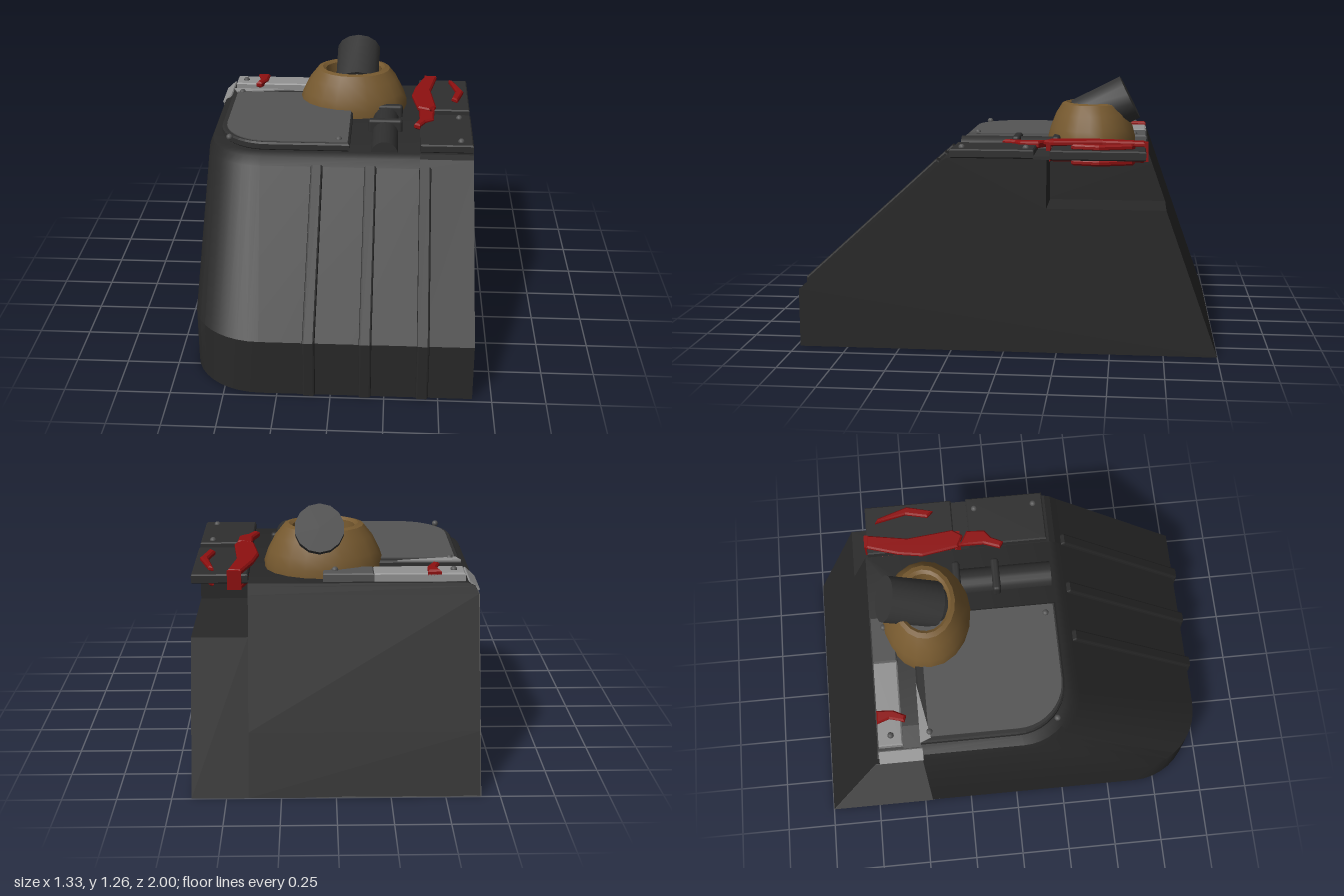
import * as THREE from 'three';
import { toCreasedNormals } from 'three/addons/utils/BufferGeometryUtils.js';
import { RoundedBoxGeometry } from 'three/addons/geometries/RoundedBoxGeometry.js';

const paint = (name, color) => {
  const m = new THREE.MeshStandardMaterial({ color });
  m.name = name;
  return m;
};

export function createModel() {
  const group = new THREE.Group();
  const charcoal = paint('charcoal', 0x282828);
  const darkTrim = paint('dark trim', 0x2f2f2f);
  const plateGrey = paint('plate grey', 0x545454);
  const paleMetal = paint('pale metal', 0x929292);
  const bronze = paint('bronze', 0x76592f);
  const red = paint('red', 0x8e1010);
  const barrelGrey = paint('barrel grey', 0x353535);

  const add = (name, geo, mat, x = 0, y = 0, z = 0) => {
    const mesh = new THREE.Mesh(geo, mat);
    mesh.name = name;
    mesh.position.set(x, y, z);
    group.add(mesh);
    return mesh;
  };
  const shapeOf = (pts) => new THREE.Shape(pts.map(([a, b]) => new THREE.Vector2(a, b)));

  // Horizontal slab from an outline of [x, z] points
  const slab = (name, pts, y, h, mat, bevel = 0) => {
    const geo = new THREE.ExtrudeGeometry(shapeOf(pts.map(([x, z]) => [x, -z])), {
      depth: h - 2 * bevel, bevelEnabled: bevel > 0, bevelSize: bevel,
      bevelOffset: -bevel, bevelThickness: bevel, bevelSegments: 1,
    });
    geo.translate(0, 0, bevel);
    geo.rotateX(-Math.PI / 2);
    return add(name, geo, mat, 0, y, 0);
  };
  // Side profile of [z, y] points, extruded from x1 towards -x
  const sideProfile = (name, pts, x1, width, mat, bevel = 0) => {
    const geo = new THREE.ExtrudeGeometry(shapeOf(pts), {
      depth: width - 2 * bevel, bevelEnabled: bevel > 0, bevelSize: bevel,
      bevelOffset: -bevel, bevelThickness: bevel, bevelSegments: 2,
    });
    geo.rotateY(-Math.PI / 2);
    return add(name, geo, mat, x1 - bevel, 0, 0);
  };
  const rect = (x0, x1, z0, z1) => [[x0, z0], [x1, z0], [x1, z1], [x0, z1]];
  // Rectangle with its front right corner rounded
  const roundedOutline = (x0, x1, z0, z1, r) => {
    const pts = [[x1, z0], [x1, z1]];
    for (let i = 0; i <= 10; i++) {
      const a = (i / 10) * Math.PI / 2;
      pts.push([x0 + r - r * Math.sin(a), z1 - r + r * Math.cos(a)]);
    }
    pts.push([x0, z0]);
    return pts;
  };

  // Main hull: outlines stacked by height, [y, left x, front z, corner radius]
  const backZ = (y) => -1 + 0.36 * y;
  const rings = [
    [0, -0.66, 0.98, 0.33], [0.28, -0.66, 0.98, 0.33], [0.87, -0.66, 0.33, 0.28],
    [0.905, -0.645, 0.295, 0.265], [0.92, -0.61, 0.265, 0.24],
  ].map(([y, x, z, r]) => roundedOutline(x, 0.4, backZ(y), z, r).map(([px, pz]) => [px, y, pz]));
  const verts = [];
  const n = rings[0].length;
  for (let k = 0; k < rings.length - 1; k++) {
    for (let i = 0; i < n; i++) {
      const j = (i + 1) % n, lo = rings[k], hi = rings[k + 1];
      verts.push(...lo[i], ...hi[i], ...lo[j], ...lo[j], ...hi[i], ...hi[j]);
    }
  }
  const top = rings[rings.length - 1], base = rings[0];
  for (let i = 1; i < n - 1; i++) {
    verts.push(...top[0], ...top[i + 1], ...top[i], ...base[0], ...base[i], ...base[i + 1]);
  }
  const hull = new THREE.BufferGeometry();
  hull.setAttribute('position', new THREE.Float32BufferAttribute(verts, 3));
  add('hull', toCreasedNormals(hull, 0.5), charcoal);

  // Left end of the hull, with the open notch at the rear
  sideProfile('notchedHullEnd', [
    [-1, 0], [0.98, 0], [0.98, 0.28], [0.33, 0.87], [0.295, 0.905], [0.265, 0.92],
    [-0.2, 0.92], [-0.2, 0.69], [backZ(0.69), 0.69],
  ], 0.66, 0.26, charcoal);

  // Worn bare panels at the rear right corner
  sideProfile('bareSidePanel', [[-0.998, 0], [-0.46, 0], [-0.46, 0.87], [backZ(0.87), 0.87]], -0.655, 0.008, plateGrey);
  slab('bareBasePanel', [[-0.66, -1], [0.09, -1], [0.13, -0.87], [0.06, -0.7], [-0.25, -0.42], [-0.66, -0.42]],
    -0.001, 0.004, plateGrey);
  const edge = add('bareEdge', new THREE.BoxGeometry(0.065, 0.008, 0.21), paleMetal, -0.64, 0.905, -0.56);
  edge.rotation.z = 0.75;

  // Ribs running up the front
  for (const x of [-0.1, 0.16, 0.425]) {
    sideProfile('frontRib', [[0.96, 0.005], [1, 0.005], [1, 0.29], [0.345, 0.888], [0.31, 0.86], [0.96, 0.27]],
      x + 0.029, 0.058, charcoal, 0.009);
  }

  // Right deck plate on a darker rim
  slab('deckPlateRim', roundedOutline(-0.6, 0.055, -0.46, 0.255, 0.25), 0.918, 0.042, darkTrim, 0.008);
  slab('deckPlate', roundedOutline(-0.575, 0.045, -0.42, 0.24, 0.23), 0.955, 0.01, plateGrey);
  slab('deckPlateWornEdge', [[-0.6, -0.462], [-0.3, -0.462], [-0.58, -0.41]], 0.958, 0.008, paleMetal);

  // Rear strip with pale and grey halves, and its gap
  slab('rearStripPale', rect(-0.6, -0.18, -0.66, -0.545), 0.918, 0.045, paleMetal, 0.006);
  slab('rearStripGrey', rect(-0.18, 0.055, -0.66, -0.545), 0.918, 0.045, plateGrey, 0.006);
  slab('gapFloor', rect(-0.61, -0.5, -0.545, -0.46), 0.917, 0.008, plateGrey);

  // Plates on the left side
  slab('leftFrontPlate', rect(0.4, 0.66, -0.14, 0.25), 0.92, 0.042, darkTrim, 0.006);
  slab('leftSill', rect(0.42, 0.66, -0.215, -0.14), 0.918, 0.015, darkTrim);
  slab('overhangingPlate', rect(0.4, 0.66, -0.655, -0.215), 0.915, 0.045, darkTrim, 0.006);

  // Rivets
  for (const [x, z] of [[-0.55, -0.6], [-0.55, -0.415], [0, 0.2], [-0.54, 0.2], [0.6, 0.2], [0.6, -0.1], [0, -0.6]]) {
    add('rivet', new THREE.SphereGeometry(0.016, 10, 6), plateGrey, x, 0.963, z);
  }

  // Pipe along the deck with collars
  const pipe = (name, r, z0, z1) => {
    const geo = new THREE.CylinderGeometry(r, r, z1 - z0, 20);
    geo.rotateX(Math.PI / 2);
    add(name, geo, darkTrim, 0.225, 0.905, (z0 + z1) / 2);
  };
  pipe('pipe', 0.068, -0.22, 0.25);
  for (const z of [-0.22, -0.025]) {
    add('pipeCollar', new RoundedBoxGeometry(0.175, 0.075, 0.04, 3, 0.015), darkTrim, 0.225, 0.945, z);
  }

  // Red cloth straps wrapped around the plates
  const wrap = [[0.36, -0.38], [0.38, -0.5], [0.43, -0.66], [0.495, -0.65], [0.46, -0.45], [0.485, -0.22], [0.45, -0.17], [0.39, -0.2]];
  const tie = [[0.56, -0.605], [0.585, -0.59], [0.635, -0.44], [0.6, -0.31], [0.57, -0.34], [0.595, -0.45]];
  for (const [name, pts] of [['wideStrap', wrap], ['narrowStrap', tie]]) {
    slab(name + 'Top', pts, 0.955, 0.028, red, 0.008);
    slab(name + 'Underside', pts, 0.885, 0.028, red, 0.008);
  }
  add('wideStrapRearLoop', new THREE.BoxGeometry(0.065, 0.09, 0.02), red, 0.462, 0.935, -0.657);
  add('wideStrapFrontLoop', new THREE.BoxGeometry(0.08, 0.09, 0.02), red, 0.437, 0.93, -0.195);
  slab('strapTail', [[0.4, -0.19], [0.475, -0.15], [0.47, -0.06], [0.43, -0.03], [0.4, 0.03], [0.37, 0.01], [0.4, -0.07]],
    0.945, 0.032, red, 0.008);
  slab('rearStripTie', [[-0.49, -0.66], [-0.425, -0.66], [-0.43, -0.58], [-0.46, -0.52], [-0.49, -0.53], [-0.47, -0.6]],
    0.945, 0.033, red, 0.008);

  // Oval dome with an open top
  const dome = new THREE.LatheGeometry([
    [0.282, 0.915], [0.282, 0.955], [0.265, 1.005], [0.23, 1.075], [0.19, 1.125],
    [0.165, 1.132], [0.148, 1.12], [0.14, 1.0],
  ].map(([r, y]) => new THREE.Vector2(r, y)), 20);
  add('dome', toCreasedNormals(dome, 0.6), bronze, 0.05, 0, -0.385).scale.z = 0.78;
  add('domeWell', new THREE.CylinderGeometry(0.145, 0.145, 0.06, 20), plateGrey, 0.05, 1.0, -0.385).scale.z = 0.78;

  // Tilted barrel rising out of the dome towards the back
  const barrel = new THREE.Group();
  barrel.name = 'barrel';
  const tube = new THREE.Mesh(toCreasedNormals(new THREE.CylinderGeometry(0.115, 0.115, 0.27, 14), 0.5), barrelGrey);
  tube.name = 'barrelTube';
  tube.position.y = -0.135;
  const neck = new THREE.Mesh(new THREE.CylinderGeometry(0.1, 0.08, 0.06, 14), barrelGrey);
  neck.name = 'barrelNeck';
  neck.position.y = -0.295;
  barrel.add(tube, neck);
  barrel.position.set(0.07, 1.157, -0.575);
  barrel.rotation.x = -1.1;
  group.add(barrel);

  return group;
}
